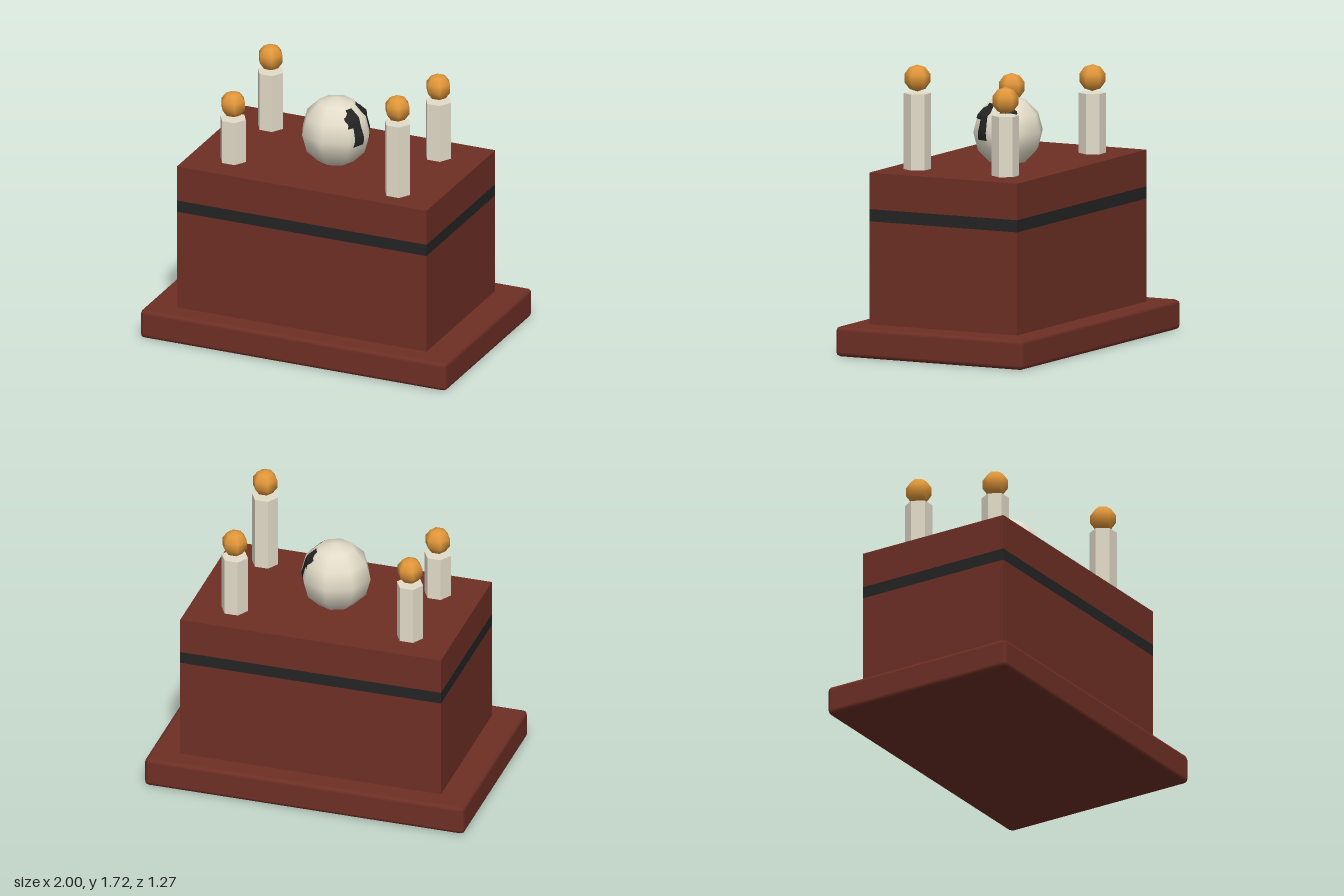
import * as THREE from 'three';
import { RoundedBoxGeometry } from 'three/addons/geometries/RoundedBoxGeometry.js';

const mat = (name, color, extra = {}) => {
  const m = new THREE.MeshStandardMaterial({ color, ...extra });
  m.name = name;
  return m;
};

export function createModel() {
  const red = mat('dark red', 0x6e2f25);
  const black = mat('black', 0x242424, { side: THREE.DoubleSide });
  const cream = mat('cream', 0xe3dcc9);
  const orange = mat('flame orange', 0xe2973a);

  const group = new THREE.Group();
  group.name = 'altar';
  const add = (name, geometry, material, x = 0, y = 0, z = 0, parent = group) => {
    const mesh = new THREE.Mesh(geometry, material);
    mesh.name = name;
    mesh.position.set(x, y, z);
    parent.add(mesh);
    return mesh;
  };

  // Chamfered plinth
  add('plinth', new RoundedBoxGeometry(2, 0.18, 1.27, 1, 0.027), red, 0, 0.09, 0);

  // Block in three stacked layers, with the dark band flush between them
  const layer = (name, y0, y1, material) =>
    add(name, new THREE.BoxGeometry(1.63, y1 - y0, 1), material, 0, (y0 + y1) / 2, 0);
  layer('lowerBlock', 0.17, 0.8, red);
  layer('band', 0.8, 0.873, black);
  layer('upperBlock', 0.873, 1.093, red);

  // Candles: x, z and the height of the wax top
  [[0.545, 0.32, 1.55], [0.545, -0.275, 1.455], [-0.55, 0.27, 1.365], [-0.55, -0.275, 1.455]]
    .forEach(([x, z, top]) => {
      const candle = new THREE.Group();
      candle.name = 'candle';
      candle.position.set(x, 0, z);
      group.add(candle);
      const wax = new THREE.CylinderGeometry(0.082, 0.082, top - 1.085, 6).toNonIndexed();
      wax.rotateY(Math.PI / 6);
      wax.computeVertexNormals();
      add('wax', wax, cream, 0, (top + 1.085) / 2, 0, candle);
      add('flame', new THREE.SphereGeometry(0.081, 6, 5), orange, 0, top + 0.09, 0, candle);
    });

  // Faceted skull ball resting on the block
  const skull = add('skull', new THREE.SphereGeometry(0.216, 8, 6), cream, 0, 1.275, 0);
  skull.updateMatrixWorld(true);

  // Dark eye patches laid on the +x side of the ball; rows are y, inner z, outer z
  const rows = [
    [1.235, 0.04, 0.115], [1.355, 0.045, 0.1], [1.36, 0.045, 0.138], [1.38, 0.045, 0.132],
    [1.4, 0.03, 0.125], [1.415, 0.03, 0.115], [1.435, 0.03, 0.08], [1.45, 0.03, 0.075],
  ];
  const ray = new THREE.Raycaster();
  const toLeft = new THREE.Vector3(-1, 0, 0);
  const surfaceX = (y, z) => {
    ray.set(new THREE.Vector3(1, y, z), toLeft);
    const hit = ray.intersectObject(skull)[0];
    return hit ? hit.point.x : 0.1;
  };
  const cols = 10, sub = 5;
  for (const side of [1, -1]) {
    const pos = [], index = [];
    let n = 0;
    for (let i = 0; i < rows.length; i++) {
      const a = rows[i], b = rows[Math.min(i + 1, rows.length - 1)];
      for (let s = 0; s < (i < rows.length - 1 ? sub : 1); s++, n++) {
        const [y, z0, z1] = a.map((v, k) => THREE.MathUtils.lerp(v, b[k], s / sub));
        for (let c = 0; c <= cols; c++) {
          const z = side * THREE.MathUtils.lerp(z0, z1, c / cols);
          pos.push(surfaceX(y, z) + 0.006, y, z);
        }
      }
    }
    for (let r = 0; r < n - 1; r++) {
      for (let c = 0; c < cols; c++) {
        const p = r * (cols + 1) + c, q = p + cols + 1;
        if (side > 0) index.push(p, q, p + 1, p + 1, q, q + 1);
        else index.push(p, p + 1, q, p + 1, q + 1, q);
      }
    }
    const patch = new THREE.BufferGeometry();
    patch.setAttribute('position', new THREE.Float32BufferAttribute(pos, 3));
    patch.setIndex(index);
    patch.computeVertexNormals();
    add(side > 0 ? 'frontEye' : 'backEye', patch, black);
  }

  return group;
}
